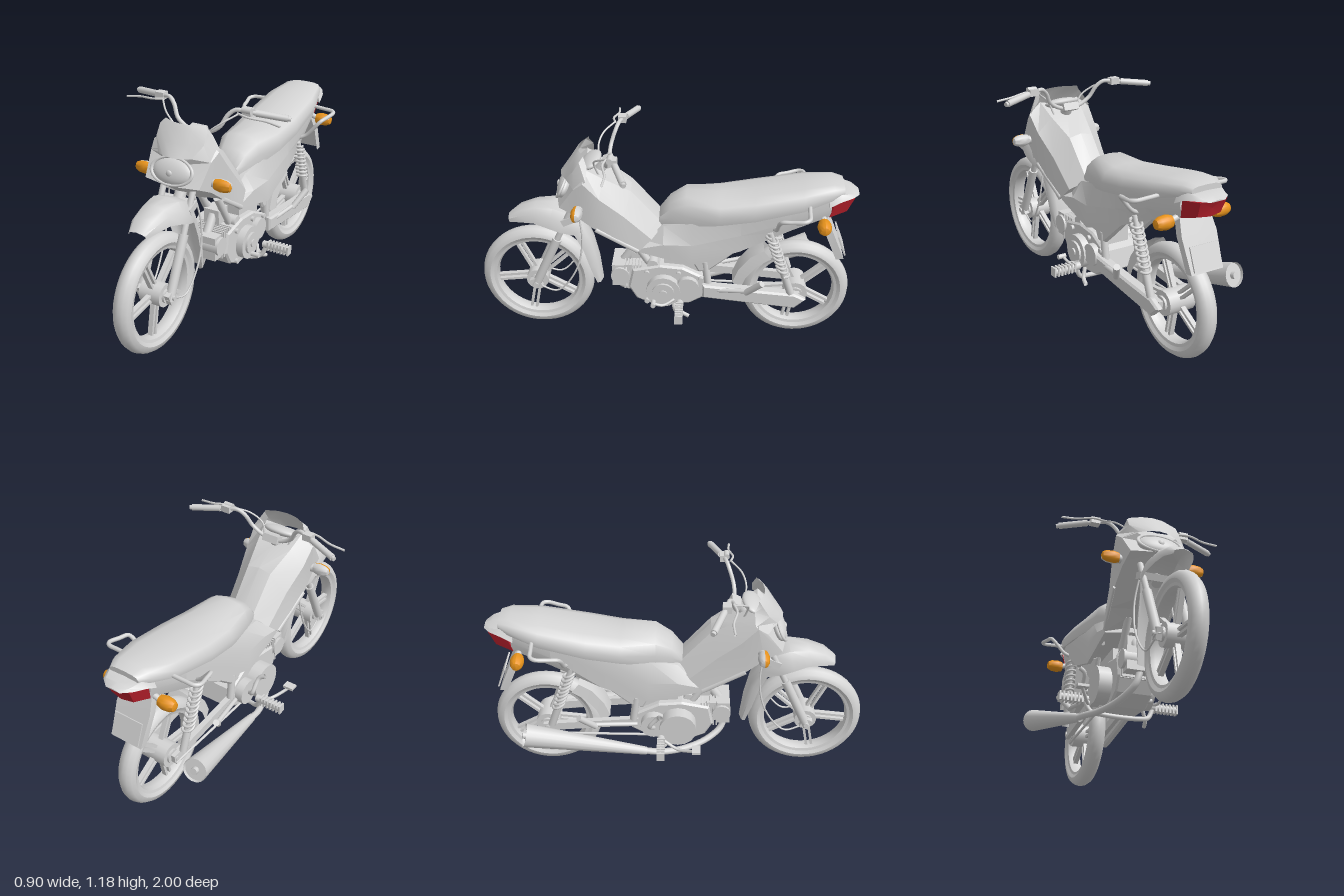
import * as THREE from 'three';
import { toCreasedNormals } from 'three/addons/utils/BufferGeometryUtils.js';

const make = (name, color) =>
  Object.assign(new THREE.MeshStandardMaterial({ color, side: THREE.DoubleSide }), { name });
const V = (p) => new THREE.Vector3(...p);
const flip = (p) => [-p[0], p[1], p[2]];

export function createModel() {
  const root = new THREE.Group();
  const grey = make('light grey', 0xd4d4d4);
  const amber = make('amber', 0xf29a1e);
  const red = make('lamp red', 0xb8202c);

  const add = (name, geo, mat = grey, pos = [0, 0, 0], parent = root) => {
    const m = new THREE.Mesh(geo, mat);
    m.name = name;
    m.position.set(...pos);
    parent.add(m);
    return m;
  };
  const box = (name, s, pos, rx = 0) => {
    const m = add(name, new THREE.BoxGeometry(...s), grey, pos);
    m.rotation.x = rx;
    return m;
  };
  // tapered rod between two points
  const rod = (name, a, b, r1, r2 = r1, open = false, parent = root) => {
    const d = V(b).sub(V(a));
    const m = add(name, new THREE.CylinderGeometry(r2, r1, d.length(), 16, 1, open), grey,
      V(a).addScaledVector(d, 0.5).toArray(), parent);
    m.quaternion.setFromUnitVectors(new THREE.Vector3(0, 1, 0), d.normalize());
    return m;
  };
  const tube = (name, pts, r, seg = pts.length * 6) =>
    add(name, new THREE.TubeGeometry(new THREE.CatmullRomCurve3(pts.map(V)), seg, r, 8));
  const drum = (name, x0, x1, y, z, r) => rod(name, [x0, y, z], [x1, y, z], r);
  // side outline of [z, y] points, extruded across x
  const slab = (name, pts, w, x = 0) => {
    const s = new THREE.Shape(pts.map((p) => new THREE.Vector2(...p)));
    const g = new THREE.ExtrudeGeometry(s, { depth: w, bevelSize: .01, bevelThickness: .01, bevelSegments: 1 });
    g.translate(0, 0, -w / 2).rotateY(-Math.PI / 2);
    return add(name, g, grey, [x, 0, 0]);
  };
  // mirrored half sections joined from front to back; closed ones get end caps
  const loft = (name, halves, mat = grey, closed = true, crease = 0.6) => {
    const rings = halves.map((h) => closed
      ? [...h, ...h.slice(1, -1).reverse().map(flip)]
      : [...h.slice(1).reverse().map(flip), ...h]);
    const n = rings[0].length, pos = [];
    for (let i = 0; i + 1 < rings.length; i++)
      for (let j = 0; j < (closed ? n : n - 1); j++) {
        const k = (j + 1) % n, [a, b, c, d] = [rings[i][j], rings[i][k], rings[i + 1][k], rings[i + 1][j]];
        pos.push(...a, ...b, ...c, ...a, ...c, ...d);
      }
    if (closed) for (const [ring, front] of [[rings[0], true], [rings.at(-1), false]]) {
      const mid = ring.reduce((s, p) => s.add(V(p)), new THREE.Vector3()).divideScalar(n).toArray();
      ring.forEach((p, j) => {
        const q = ring[(j + 1) % n];
        pos.push(...mid, ...(front ? q : p), ...(front ? p : q));
      });
    }
    const g = new THREE.BufferGeometry();
    g.setAttribute('position', new THREE.Float32BufferAttribute(pos, 3));
    return add(name, toCreasedNormals(g, crease), mat);
  };
  const both = (f) => [1, -1].forEach(f);

  // wheels: tyre, rim, paired spokes and hub
  const wheel = (label, y, z, R, hubR, hubW) => {
    const w = new THREE.Group();
    w.name = label;
    w.position.set(0, y, z);
    root.add(w);
    const ring = (name, pts) => {
      const g = new THREE.LatheGeometry(pts.map((p) => new THREE.Vector2(...p)), 48);
      add(name, toCreasedNormals(g.rotateZ(Math.PI / 2), 0.7), grey, [0, 0, 0], w);
    };
    ring('tyre', [[R - .068, -.035], [R - .045, -.048], [R - .02, -.042], [R - .005, -.022], [R, 0],
      [R - .005, .022], [R - .02, .042], [R - .045, .048], [R - .068, .035], [R - .068, -.035]]);
    ring('rim', [[R - .062, -.038], [R - .062, .038], [R - .078, .034], [R - .086, .012],
      [R - .086, -.012], [R - .078, -.034], [R - .062, -.038]]);
    for (let i = 0; i < 5; i++) {
      const a = Math.PI / 2 + 0.12 + (i * Math.PI * 2) / 5;
      both((s) => {
        const g = new THREE.BoxGeometry(.026, R - .11, .014).translate(0, (R - .03) / 2, s * .014);
        add('spoke', g.rotateX(a), grey, [0, 0, 0], w);
      });
    }
    rod('hub', [-hubW, 0, 0], [hubW, 0, 0], hubR, hubR, false, w);
    rod('hubFlange', [-hubW - .012, 0, 0], [hubW + .012, 0, 0], hubR * .6, hubR * .6, false, w);
    rod('axle', [-.115, 0, 0], [.115, 0, 0], .013, .013, false, w);
  };
  wheel('frontWheel', .318, .695, .308, .06, .06);
  wheel('rearWheel', .295, -.71, .29, .065, .075);

  // front fork
  both((s) => {
    rod('forkSlider', [s * .085, .3, .7], [s * .085, .6, .565], .024);
    rod('forkTube', [s * .085, .58, .574], [s * .085, .9, .43], .016);
    box('axleLug', [.03, .06, .05], [s * .085, .318, .695], .4);
    tube('frontCable', [[s * .07, .78, .45], [s * .1, .6, .43], [s * .11, .42, .47], [s * .1, .28, .58], [s * .09, .3, .67]], .005);
  });
  box('forkCrown', [.21, .035, .07], [0, .72, .5], .42);
  rod('steeringStem', [0, .7, .49], [0, 1.03, .31], .03);

  // front mudguard, drooping toward the wheel
  const hub = [.318, .695];
  loft('frontMudguard', [[.83, .705, .05, .03], [.77, .75, .075, .06], [.68, .78, .09, .085], [.58, .785, .11, .11],
    [.5, .755, .11, .11], [.43, .68, .085, .07], [.38, .56, .08, .06], [.35, .43, .075, .05], [.335, .31, .06, .03]]
    .map(([z, y, w, drop]) => {
      const dy = hub[0] - y, dz = hub[1] - z, l = Math.hypot(dy, dz);
      const p = (x, d) => [x, y + (dy / l) * d, z + (dz / l) * d];
      return [p(0, 0), p(w * .65, .008), p(w * .92, drop * .45), p(w, drop)];
    }), grey, false, 0.8);

  // nose fairing running down into the leg shield
  loft('fairing', [
    [[0, .985, .495], [.11, .98, .48], [.172, .95, .45], [.155, .835, .53], [0, .835, .565]],
    [[0, 1.02, .4], [.115, 1.045, .41], [.187, .99, .4], [.168, .79, .44], [0, .765, .46]],
    [[0, .985, .31], [.1, .98, .31], [.18, .9, .32], [.175, .73, .36], [0, .7, .36]],
    [[0, .91, .17], [.07, .895, .17], [.155, .79, .2], [.17, .655, .24], [0, .67, .25]],
    [[0, .71, 0], [.065, .7, 0], [.14, .65, .06], [.16, .57, .14], [0, .62, .14]]], grey, true, .35);
  both((s) => {
    const rib = rod('shieldRib', [s * .176, .72, .345], [s * .157, .585, .13], .012);
    rib.scale.x = .6;
  });
  // windscreen with side cheeks folding back to the fairing
  loft('windscreen', [[1.11, .425, .115, .12, 1.095, .4], [1.085, .445, .135, .14, 1.06, .38],
    [1.03, .48, .135, .182, 1.0, .385], [.97, .525, .095, .17, .95, .45]]
    .map(([y, z, w, bx, by, bz]) => [[0, y, z + .012], [w * .5, y, z + .004], [w, y, z - .025], [bx, by, bz]]), grey, false);
  const lens = add('headlight', new THREE.SphereGeometry(1, 24, 14), grey, [0, .895, .518]);
  lens.scale.set(.115, .066, .035);
  lens.rotation.x = -.45;
  const bezel = add('headlightBezel', new THREE.TorusGeometry(1, .09, 8, 32), grey, [0, .9, .53]);
  bezel.scale.set(.115, .068, .08);
  bezel.rotation.x = -.45;
  const bulb = add('bulbCap', new THREE.SphereGeometry(.018, 12, 8), grey, [0, .895, .552]);
  bulb.scale.z = .5;
  const dash = add('instrumentPanel', new THREE.SphereGeometry(1, 20, 12), grey, [0, 1.035, .375]);
  dash.scale.set(.1, .025, .055);
  dash.rotation.x = .4;

  // handlebar with grips and levers
  const half = [[.05, 1.03, .29], [.12, 1.07, .285], [.155, 1.13, .265], [.19, 1.158, .25], [.25, 1.153, .235], [.43, 1.132, .17]];
  tube('handlebar', [...half.map(flip).reverse(), ...half], .011, 80);
  box('barClamp', [.09, .04, .05], [0, 1.03, .29], .4);
  both((s) => {
    rod('grip', [s * .285, 1.15, .222], [s * .43, 1.132, .17], .017);
    rod('barEnd', [s * .43, 1.132, .17], [s * .443, 1.13, .165], .012);
    box('switchHousing', [.05, .036, .042], [s * .25, 1.155, .237]);
    tube('lever', [[s * .21, 1.15, .27], [s * .27, 1.145, .285], [s * .36, 1.135, .265], [s * .44, 1.125, .27]], .006);
    tube('controlCable', [[s * .22, 1.15, .27], [s * .16, 1.11, .33], [s * .1, 1.06, .35], [s * .07, .98, .33]], .005);
  });
  drum('fluidReservoir', .225, .275, 1.165, .25, .016);

  // seat
  loft('seat', [[.025, .75, .7, .07], [-.03, .825, .7, .095], [-.115, .877, .72, .125], [-.29, .872, .75, .157],
    [-.47, .9, .785, .167], [-.71, .945, .845, .155], [-.86, .963, .895, .115], [-.915, .95, .915, .085]]
    .map(([z, t, b, w]) => {
      const h = t - b;
      return [[0, t, z], [w * .55, t - h * .04, z], [w * .87, t - h * .22, z], [w, t - h * .6, z], [w * .95, b, z], [0, b, z]];
    }), grey, true, 0.9);

  // side covers and tail under the seat, hollowed along the underside
  loft('bodyCover', [[.12, .62, .575, .09, .15, .03], [0, .71, .545, .1, .155, .08], [-.15, .75, .51, .125, .16, .12],
    [-.4, .79, .6, .15, .15, .08], [-.65, .85, .715, .145, .12, .03], [-.855, .9, .79, .1, .085, .005]]
    .map(([z, t, b, wt, wb, lift]) => [[0, t, z], [wt, t, z], [Math.max(wt, wb), (t + b) / 2, z], [wb, b, z],
      [wb - .02, b, z], [wb - .03, b + lift, z], [0, b + lift, z]]), grey, true, .4);
  both((s) => slab('rearFramePanel', [[-.14, .54], [-.45, .64], [-.3, .51], [-.23, .45], [-.19, .45]], .01, s * .1));
  loft('tailCap', [[-.84, .92, .86, .125], [-.9, .925, .89, .115], [-.96, .915, .898, .085], [-.995, .902, .895, .04]]
    .map(([z, t, b, w]) => [[0, t, z], [w * .8, t - .004, z], [w, b, z], [0, b, z]]));
  loft('tailLamp', [
    [[0, .885, -.85], [.103, .88, -.872], [.09, .785, -.848], [0, .785, -.848]],
    [[0, .895, -.98], [.075, .892, -.968], [.065, .812, -.937], [0, .808, -.948]]], red, true, .3);

  // rear plate carrier
  loft('plateCarrier', [[.8, -.83, .085], [.7, -.875, .1], [.535, -.945, .09]]
    .map(([y, z, w]) => [[0, y, z], [w, y, z], [w, y - .005, z + .04]]), grey, false, .3);
  box('licencePlate', [.16, .12, .008], [0, .605, -.93], .38);

  // turn signals: bullets pointing outward, each built from a front and a back half
  const signal = (name, s, x, y, z, r, depth, turn, mat) => {
    const pts = [[0, 0], [.8, 0], [1, .03], [.9, .065], [.62, .085], [0, .093]].map(([a, b]) => new THREE.Vector2(a * r, b));
    const g = new THREE.LatheGeometry(pts, 10, turn - Math.PI / 2, Math.PI).rotateZ(-s * Math.PI / 2);
    add(name, toCreasedNormals(g, .7), mat, [s * x, y, z]).scale.z = depth;
  };
  both((s) => {
    signal('frontSignalLens', s, .185, .838, .435, .034, .8, 0, amber);
    signal('frontSignalHousing', s, .185, .838, .435, .034, 1, Math.PI, grey);
    rod('frontSignalStem', [s * .14, .835, .42], [s * .187, .838, .43], .022);
    signal('rearSignalLens', s, .122, .768, -.82, .036, 1, 0, amber);
    signal('rearSignalLens', s, .122, .768, -.82, .036, 1, Math.PI, amber);
    rod('rearSignalStem', [s * .06, .79, -.82], [s * .125, .77, -.82], .015);
    // grab rail, shocks, swingarm and footrests
    tube('grabRail', [[s * .13, .73, -.57], [s * .17, .75, -.58], [s * .235, .825, -.588], [s * .25, .842, -.6], [s * .262, .85, -.65],
      [s * .272, .86, -.71], [s * .255, .863, -.732], [s * .2, .866, -.737], [s * .13, .87, -.74]], .011, 60);
    const top = V([s * .135, .71, -.55]), foot = V([s * .125, .33, -.68]);
    rod('shockRod', top.toArray(), foot.toArray(), .014);
    rod('shockBody', top.clone().lerp(foot, .62).toArray(), foot.toArray(), .02);
    const coil = Array.from({ length: 73 }, (_, i) => {
      const c = top.clone().lerp(foot, .06 + (i / 72) * .62), a = (i / 8) * Math.PI * 2;
      return [c.x + Math.cos(a) * .028, c.y + Math.sin(a) * .008, c.z + Math.sin(a) * .028];
    });
    tube('shockSpring', coil, .007, 180);
    box('swingArm', [.03, .045, .52], [s * .095, .315, -.47], -.08);
    rod('footrest', [s * .17, .275, -.09], [s * .33, .275, -.09], .02);
    for (let i = 0; i < 7; i++) box('footrestRib', [.01, .05, .042], [s * (.205 + i * .02), .275, -.09]);
    rod('rearFootrest', [s * .165, .35, -.44], [s * .215, .445, -.52], .017);
    rod('footrestHanger', [s * .12, .33, -.22], [s * .165, .36, -.45], .012);
    rod('frameStrut', [s * .1, .5, -.22], [s * .1, .35, -.24], .02);
    rod('seatRail', [s * .09, .62, -.1], [s * .09, .76, -.6], .014);
    rod('downTube', [s * .05, .64, .2], [s * .05, .4, .05], .02);
  });
  rod('mainFrameTube', [0, .85, .36], [0, .5, -.12], .028);
  slab('chainCase', [[-.22, .36], [-.5, .335], [-.7, .32], [-.75, .295], [-.7, .25], [-.5, .27], [-.22, .3]], .02, .125);
  loft('rearHugger', [[-.37, .34], [-.4, .42], [-.46, .5], [-.53, .545]]
    .map(([z, y]) => [[0, y + .01, z], [.055, y, z], [.065, y - .045, z - .04]]), grey, false);
  rod('brakeRod', [-.1, .24, -.1], [-.09, .24, -.7], .007);

  // engine
  slab('crankcase', [[.16, .42], [.02, .45], [-.1, .44], [-.22, .38], [-.24, .29], [-.14, .23], [.05, .21], [.14, .25], [.18, .32]], .18);
  drum('clutchCover', -.17, -.08, .325, .0, .1);
  drum('gearCover', -.145, -.08, .33, -.13, .07);
  drum('generatorCover', .08, .14, .315, 0, .092);
  drum('generatorCap', .14, .152, .315, 0, .06);
  drum('generatorPlug', .152, .16, .315, 0, .022);
  drum('sprocketCover', .08, .13, .34, -.13, .06);
  drum('starterMotor', -.06, .09, .455, .06, .03);
  box('cylinder', [.13, .12, .12], [0, .375, .17]);
  for (let i = 0; i < 6; i++) box('coolingFin', [.18, .15, .008], [0, .377, .125 + i * .017]);
  box('cylinderHead', [.17, .13, .07], [0, .38, .245]);
  drum('camCover', -.1, .1, .385, .235, .05);
  rod('intakePort', [0, .43, .22], [0, .52, .16], .025);
  box('carburettor', [.09, .08, .09], [0, .51, .13]);
  box('engineMount', [.13, .14, .2], [0, .48, -.1]);
  [[.09, .09], [-.09, .09], [.09, -.08], [.06, -.2]].forEach(([y, z]) => drum('coverBolt', .09, .115, .325 + y, z, .014));

  // exhaust
  tube('exhaustPipe', [[0, .34, .25], [-.03, .25, .24], [-.08, .195, .16], [-.14, .175, .03], [-.185, .19, -.1], [-.195, .21, -.2]], .018, 50);
  rod('muffler', [-.19, .2, -.17], [-.29, .39, -.8], .022, .063, true);
  rod('mufflerEnd', [-.286, .382, -.775], [-.288, .386, -.788], .058);
  rod('mufflerOutlet', [-.286, .382, -.78], [-.29, .39, -.81], .018);

  // footrest bar, pedals and kick lever
  tube('footrestBar', [[-.19, .27, -.09], [-.16, .21, -.08], [-.1, .19, -.06], [.1, .19, -.06], [.16, .21, -.08], [.19, .27, -.09]], .013, 50);
  tube('brakePedal', [[-.17, .26, -.08], [-.2, .22, 0], [-.24, .24, .07], [-.26, .26, .1]], .009);
  box('brakePad', [.06, .014, .045], [-.26, .265, .1]);
  tube('gearLever', [[.15, .28, -.06], [.18, .26, 0], [.19, .28, .06]], .008);
  drum('gearLeverPad', .175, .22, .28, .05, .013);
  tube('sideStand', [[.13, .25, -.08], [.15, .2, -.1], [.16, .18, -.14]], .011);
  tube('kickLever', [[-.15, .33, -.13], [-.18, .36, -.15], [-.19, .43, -.1], [-.22, .45, -.09]], .012);

  return root;
}
